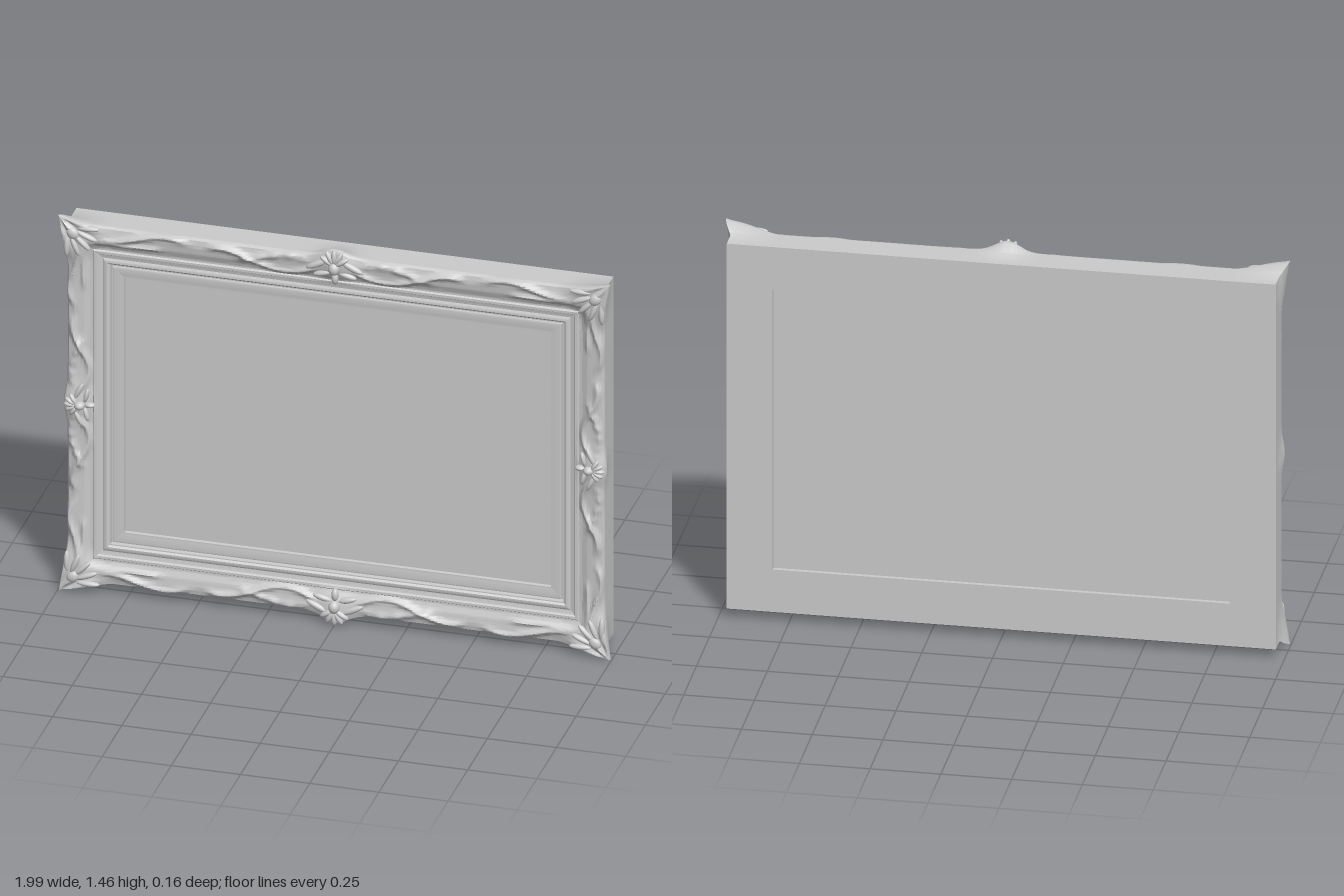
import * as THREE from 'three';
import { toCreasedNormals } from 'three/addons/utils/BufferGeometryUtils.js';

const HX = 0.97, HY = 0.695, CY = 0.735;
const mat = new THREE.MeshStandardMaterial({ color: 0xcccccc, side: THREE.DoubleSide });
const smooth = THREE.MathUtils.smoothstep;
const gauss = (v, w) => Math.exp(-(v * v) / (w * w));
const span = (v, a, b, f) => smooth(v, a, a + f) * (1 - smooth(v, b - f, b));

// Moulding section: [distance in from the outer edge, z], from back to sight edge
const SECTION = [
  [0.162, -0.06], [0.162, -0.08], [0, -0.08], [0, -0.01], [0, 0.03], [0.006, 0.039],
  [0.03, 0.044], [0.06, 0.04], [0.085, 0.03], [0.093, 0.03], [0.097, 0.036], [0.106, 0.036],
  [0.11, 0.029], [0.125, 0.025], [0.132, 0.03], [0.142, 0.03], [0.148, 0.024], [0.152, 0.024],
  [0.153, 0.005], [0.158, 0.005], [0.159, 0.018], [0.166, 0.02], [0.19, 0.014], [0.199, 0.014],
  [0.2, 0.001], [0.207, 0.001],
];

// Split the carved front of the section into short steps
function finePoints() {
  const out = [SECTION[0]];
  for (let k = 1; k < SECTION.length; k++) {
    const [a, b] = [SECTION[k - 1], SECTION[k]];
    const carved = k >= 4 && b[0] < 0.11;
    const n = carved ? Math.ceil(Math.hypot(b[0] - a[0], b[1] - a[1]) / 0.005) : 1;
    for (let i = 1; i <= n; i++) {
      out.push([a[0] + (b[0] - a[0]) * i / n, a[1] + (b[1] - a[1]) * i / n]);
    }
  }
  return out;
}

// Carved leaf scrolls, corner fans and centre swell; u runs along the rail from its middle
function relief(u, d, L) {
  const v = u / L, e = L - u;
  const fade = 1 - smooth(d, 0.08, 0.108);
  // Long S scroll beside the centre, with a counter leaf
  const c1 = 0.05 + 0.03 * Math.cos((v - 0.19) * 13);
  const c2 = 0.034 - 0.02 * Math.cos((v - 0.17) * 15);
  let h = 0.013 * gauss(d - c1, 0.011) * span(v, 0.05, 0.5, 0.07);
  h += 0.011 * gauss(d - c2, 0.012) * span(v, 0.08, 0.4, 0.08) * (0.8 + 0.2 * Math.cos(v * 110));
  // Scroll running out from the corner
  const c3 = 0.03 + 0.022 * Math.cos((v - 0.86) * 14);
  h += 0.013 * gauss(d - c3, 0.011) * span(v, 0.52, 0.92, 0.09);
  h += 0.009 * gauss(d - 0.07 + 0.03 * (1 - v), 0.009) * span(v, 0.62, 0.94, 0.08);
  // Fluted corner fan, symmetric across the mitre
  const r = Math.hypot(e, d), fan = Math.cos(10 * (Math.atan2(d, e) - Math.PI / 4));
  h += (0.022 + 0.005 * fan * smooth(r, 0.015, 0.05)) * (1 - smooth(r, 0.06, 0.17));
  // Centre swell
  h += 0.02 * gauss(u, 0.07) * gauss(d - 0.04, 0.06);
  return h * fade;
}

const corner = (e) => Math.pow(Math.max(0, 1 - e / 0.17), 1.5);

// One mitred rail; along and out are its own axes, turned into place by quarter turns
function railGeometry(horizontal) {
  const L = horizontal ? HX : HY, H = horizontal ? HY : HX;
  const fAlong = horizontal ? 0.03 : 0.038, fOut = horizontal ? 0.038 : 0.03;
  const fMid = horizontal ? 0.036 : 0.012;
  const pts = finePoints(), n = horizontal ? 220 : 160, m = pts.length;
  const pos = [], idx = [];
  for (let i = 0; i <= n; i++) {
    const t = -1 + 2 * i / n;
    pts.forEach(([d, z], j) => {
      const s = t * (L - d), u = Math.abs(s), e = L - u;
      const front = j > 3 && z > -0.02;
      const w = front ? smooth(z, -0.012, 0.04) * (1 - smooth(d, 0, 0.1)) : 0;
      const flare = corner(Math.max(0, e - d));
      pos.push(s + Math.sign(t) * flare * fAlong * w,
        H - d + w * (flare * fOut + fMid * gauss(u, 0.06)),
        z + (front && d < 0.11 ? relief(u, d, L) * smooth(z, 0.005, 0.035) : 0));
      if (i < n && j < m - 1) {
        const a = i * m + j, c = a + m;
        idx.push(a, a + 1, c, c, a + 1, c + 1);
      }
    });
  }
  const g = new THREE.BufferGeometry();
  g.setAttribute('position', new THREE.Float32BufferAttribute(pos, 3));
  g.setIndex(idx);
  return toCreasedNormals(g, 0.7);
}

const ball = new THREE.SphereGeometry(1, 16, 10);

function lobe(group, x, y, z, sx, sy, sz, turn = 0) {
  const p = new THREE.Mesh(ball, mat);
  p.position.set(x, y, z);
  p.scale.set(sx, sy, sz);
  p.rotation.z = turn;
  group.add(p);
}

// Shell cartouche: a fan of petals round a boss, with a leaf on either side
function centreShell(size, rise) {
  const g = new THREE.Group();
  g.name = 'centreShell';
  for (let k = -2; k <= 2; k++) {
    const a = k * 0.5;
    lobe(g, Math.sin(a) * 0.03 * size, (Math.cos(a) * 0.034 - 0.05) * size + rise, 0.057,
      0.011 * size, 0.03 * size, 0.014, -a);
  }
  lobe(g, 0, -0.058 * size + rise, 0.06, 0.02 * size, 0.024 * size, 0.021);
  lobe(g, 0, -0.1 * size + rise, 0.046, 0.013 * size, 0.024 * size, 0.015);
  for (const s of [-1, 1]) {
    lobe(g, s * 0.062 * size, -0.05 * size + rise, 0.052, 0.046 * size, 0.012 * size, 0.012, -s * 0.45);
    lobe(g, s * 0.045 * size, -0.085 * size + rise, 0.048, 0.035 * size, 0.011 * size, 0.012, -s * 0.25);
  }
  return g;
}

// Corner palmette: leaves spreading inward from the tip; local +y points to the corner
function cornerPalmette() {
  const g = new THREE.Group();
  g.name = 'cornerPalmette';
  for (let k = -2; k <= 2; k++) {
    const a = k * 0.4;
    lobe(g, Math.sin(a) * 0.075, -Math.cos(a) * 0.075, 0.056, 0.011, 0.042, 0.014, a);
  }
  lobe(g, 0, -0.03, 0.062, 0.02, 0.024, 0.013);
  return g;
}

export function createModel() {
  const model = new THREE.Group();
  model.name = 'pictureFrame';
  const frame = new THREE.Group();
  frame.name = 'frame';
  frame.position.y = CY;
  model.add(frame);

  const wide = railGeometry(true), tall = railGeometry(false);
  ['topRail', 'leftRail', 'bottomRail', 'rightRail'].forEach((name, k) => {
    const horizontal = k % 2 === 0;
    const side = new THREE.Group();
    side.name = name;
    side.rotation.z = -k * Math.PI / 2;
    const rail = new THREE.Mesh(horizontal ? wide : tall, mat);
    rail.name = name + 'Moulding';
    const shell = centreShell(horizontal ? 1 : 0.8, horizontal ? 0.022 : -0.004);
    shell.position.y = horizontal ? HY : HX;
    side.add(rail, shell);
    frame.add(side);
  });

  for (const sx of [-1, 1]) for (const sy of [-1, 1]) {
    const p = cornerPalmette();
    p.position.set(sx * (HX - 0.005), sy * (HY - 0.005), 0);
    p.rotation.z = Math.atan2(-sx, sy);
    frame.add(p);
  }

  // Picture panel held in the rebate
  const panel = new THREE.Mesh(new THREE.BoxGeometry(2 * (HX - 0.161), 2 * (HY - 0.161), 0.066), mat);
  panel.name = 'picturePanel';
  panel.position.z = -0.032;
  frame.add(panel);
  return model;
}
